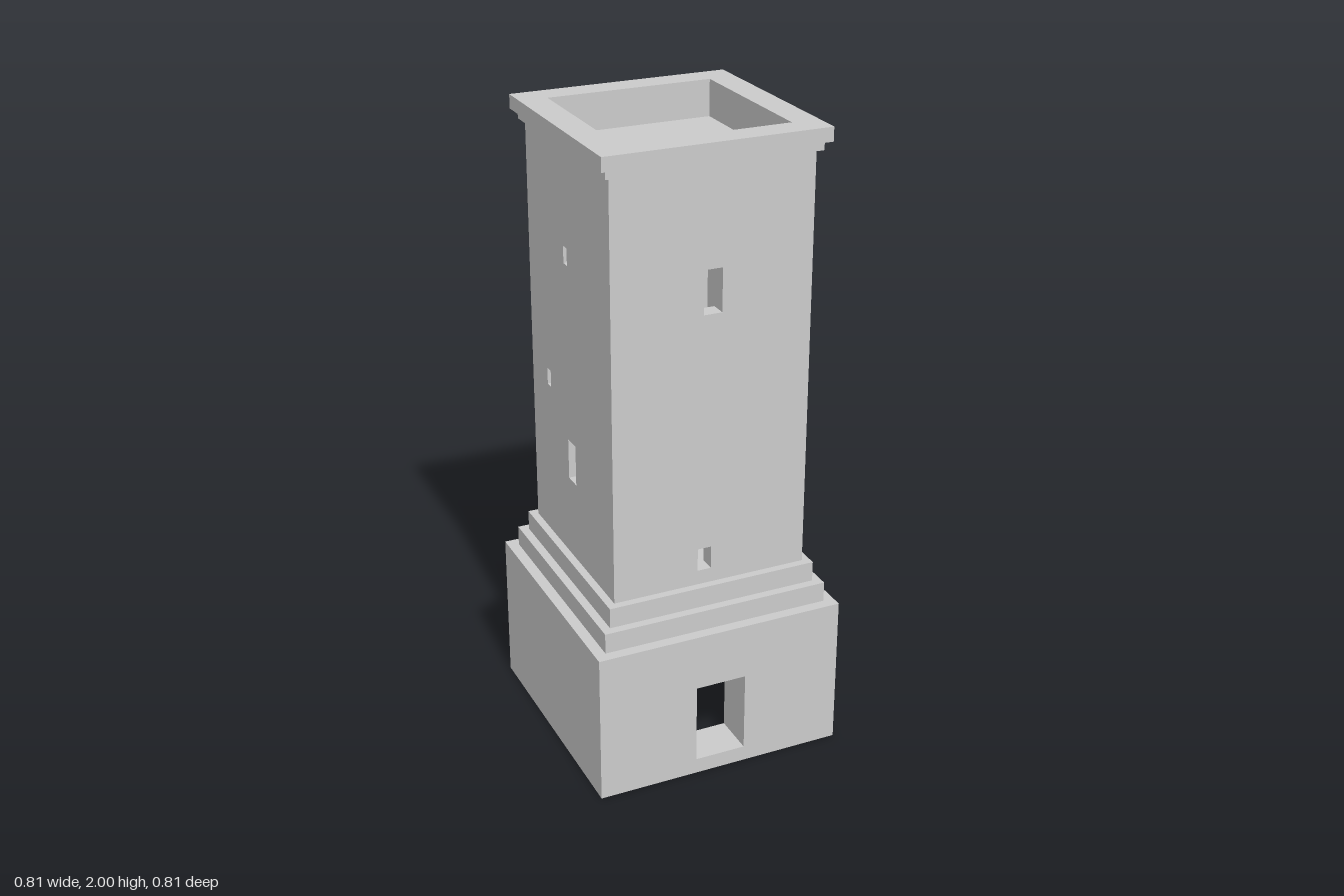
import * as THREE from 'three';

const INNER = 0.2625; // half-width of the hollow inside
const material = new THREE.MeshStandardMaterial({ color: 0xcccccc, flatShading: true });

function rectPath(target, x0, y0, x1, y1) {
  target.moveTo(x0, y0);
  target.lineTo(x1, y0);
  target.lineTo(x1, y1);
  target.lineTo(x0, y1);
  target.closePath();
  return target;
}

// Upright or flat plate with rectangular holes [x0, y0, x1, y1]
function plate(outline, holes, depth) {
  const shape = rectPath(new THREE.Shape(), ...outline);
  for (const h of holes) shape.holes.push(rectPath(new THREE.Path(), ...h));
  return new THREE.ExtrudeGeometry(shape, { depth, bevelEnabled: false });
}

function addMesh(parent, geometry, name) {
  const mesh = new THREE.Mesh(geometry, material);
  mesh.name = name;
  parent.add(mesh);
  return mesh;
}

// Horizontal plate between two heights, holes given in x and -z
function slab(parent, name, half, y0, y1, hole) {
  const g = plate([-half, -half, half, half], [hole], y1 - y0);
  g.rotateX(-Math.PI / 2);
  g.translate(0, y0, 0);
  return addMesh(parent, g, name);
}

// Four walls around the hollow; holes are measured as seen from outside each wall
function walls(parent, name, half, y0, y1, openings) {
  const group = new THREE.Group();
  group.name = name;
  ['front', 'left', 'back', 'right'].forEach((side, i) => {
    const w = i % 2 ? INNER : half;
    const g = plate([-w, y0, w, y1], openings[side] || [], half - INNER);
    g.translate(0, 0, INNER);
    g.rotateY(i * Math.PI / 2);
    addMesh(group, g, side + 'Wall');
  });
  parent.add(group);
}

export function createModel() {
  const tower = new THREE.Group();
  tower.name = 'tower';

  // Heavy base with the doorway
  walls(tower, 'base', 0.4025, 0, 0.49, { front: [[-0.083, 0.05, 0.081, 0.31]] });

  // Shaft with windows and small slits
  const upperWindow = [-0.029, 1.49, 0.029, 1.625];
  const lowerWindow = [-0.029, 0.88, 0.029, 1.01];
  walls(tower, 'shaft', 0.315, 0.62, 1.93, {
    front: [upperWindow, [-0.042, 0.667, 0.002, 0.74]],
    left: [lowerWindow, [0.009, 1.555, 0.037, 1.608]],
    back: [upperWindow, [-0.002, 1.16, 0.042, 1.235]],
    right: [lowerWindow, [-0.031, 1.575, -0.004, 1.628], [-0.19, 1.13, -0.162, 1.182]],
  });

  // Stepped courses above the base and the cornice at the top
  const hollow = [-INNER, -INNER, INNER, INNER];
  [
    ['lowerStep', 0.3675, 0.49, 0.555],
    ['upperStep', 0.34, 0.555, 0.62],
    ['lowerCornice', 0.331, 1.93, 1.957],
    ['upperCornice', 0.349, 1.957, 2.0],
  ].forEach(([name, half, y0, y1]) => slab(tower, name, half, y0, y1, hollow));

  // Floors and roof deck, each with a hatch in the back corner
  const hatch = [-0.262, 0.127, -0.193, 0.235];
  [['firstFloor', 0.62], ['secondFloor', 1.25], ['roofDeck', 1.885]].forEach(([name, top]) =>
    slab(tower, name, INNER, top - 0.035, top, hatch));

  return tower;
}
